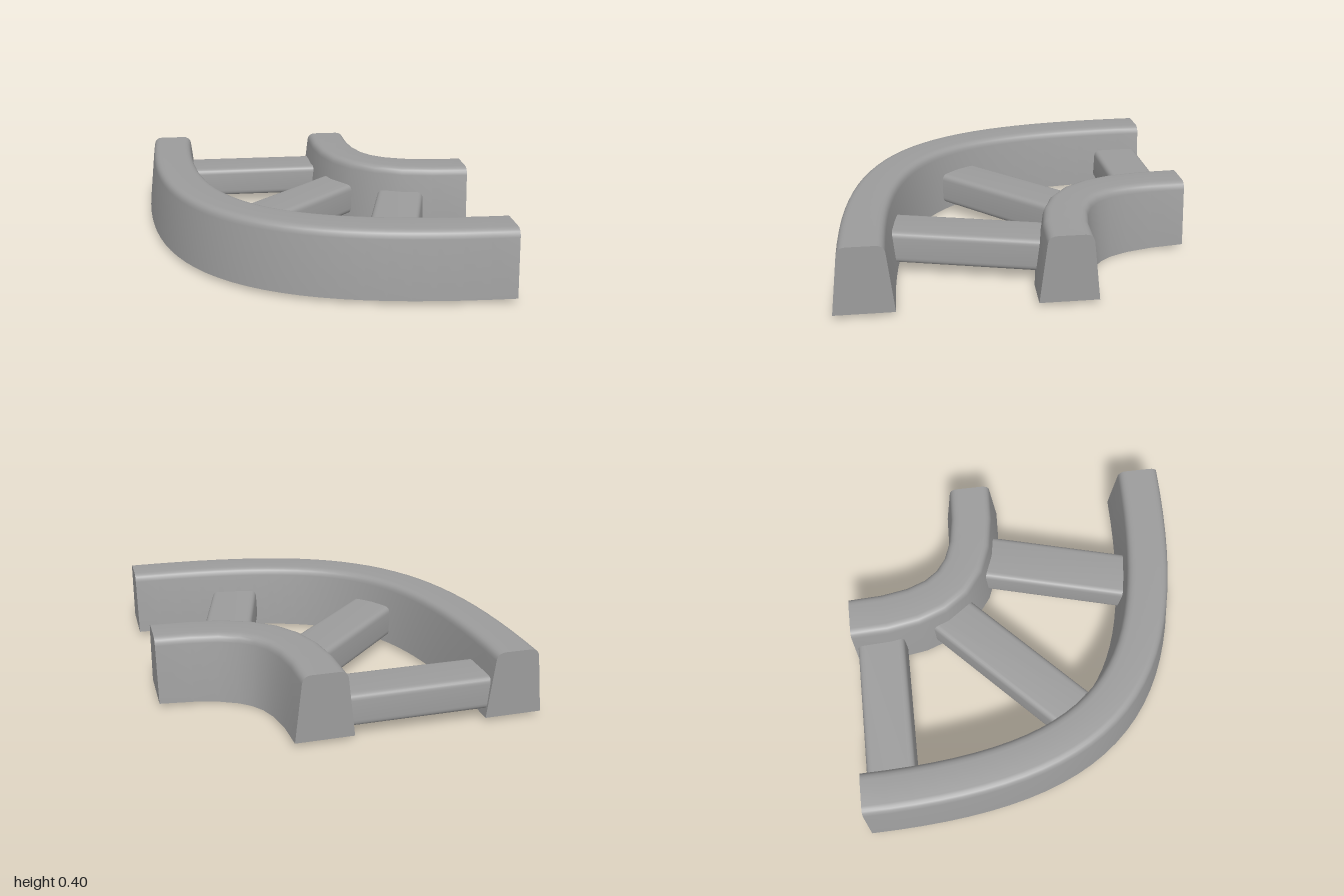
import * as THREE from 'three';
import { toCreasedNormals } from 'three/addons/utils/BufferGeometryUtils.js';

const material = new THREE.MeshStandardMaterial({ color: 0x9c9c9c });
const CX = 0.99, CZ = -1; // centre of the quarter arcs

// Closed polygon with its corners rounded by r (one radius per corner)
function roundedShape(corners, radii) {
  const shape = new THREE.Shape();
  const n = corners.length;
  corners.forEach((c, i) => {
    const before = corners[(i + n - 1) % n].clone().sub(c).setLength(radii[i]).add(c);
    const after = corners[(i + 1) % n].clone().sub(c).setLength(radii[i]).add(c);
    if (i === 0) shape.moveTo(before.x, before.y);
    else shape.lineTo(before.x, before.y);
    if (radii[i] > 0) shape.quadraticCurveTo(c.x, c.y, after.x, after.y);
  });
  shape.closePath();
  return shape;
}

// Tapered bar cross-section: sharp at the base, rounded along the top
function barSection(halfBase, halfTop, y0, y1, r) {
  const corners = [[-halfBase, y0], [halfBase, y0], [halfTop, y1], [-halfTop, y1]];
  const shape = roundedShape(corners.map(c => new THREE.Vector2(...c)), [0, 0, r, r]);
  const points = shape.getPoints(5);
  return points.filter((p, i) => p.distanceTo(points[(i + 1) % points.length]) > 1e-5);
}

// Sweeps a cross-section along a full-bodied quarter arc; sag lowers the base mid-way
function arcBar(name, rx, rz, section, segments, sag) {
  const k = 0.77;
  const path = new THREE.CubicBezierCurve(
    new THREE.Vector2(CX - rx, CZ), new THREE.Vector2(CX - rx, CZ + k * rz),
    new THREE.Vector2(CX - k * rx, CZ + rz), new THREE.Vector2(CX, CZ + rz));
  const positions = [], indices = [];
  const n = section.length;
  for (let i = 0; i <= segments; i++) {
    const t = i / segments;
    const p = path.getPoint(t), d = path.getTangent(t);
    for (const s of section) {
      const drop = s.y < 0.1 ? sag * Math.sin(Math.PI * t) : 0;
      positions.push(p.x - d.y * s.x, s.y - drop, p.y + d.x * s.x);
    }
  }
  for (let i = 0; i < segments; i++) {
    for (let j = 0; j < n; j++) {
      const a = i * n + j, c = i * n + (j + 1) % n;
      indices.push(a, a + n, c, c, a + n, c + n);
    }
  }
  // Flat end caps
  const last = segments * n;
  for (let j = 1; j < n - 1; j++) {
    indices.push(0, j, j + 1, last, last + j + 1, last + j);
  }
  const geometry = new THREE.BufferGeometry();
  geometry.setAttribute('position', new THREE.Float32BufferAttribute(positions, 3));
  geometry.setIndex(indices);
  const mesh = new THREE.Mesh(toCreasedNormals(geometry, 0.7), material);
  mesh.name = name;
  return mesh;
}

// Straight spoke with rounded long edges between two floor points
function spoke(name, x0, z0, x1, z1) {
  const w = 0.148, y0 = 0.066, y1 = 0.246;
  const corners = [[-w, y0], [w, y0], [w - 0.01, y1], [-w + 0.01, y1]];
  const shape = roundedShape(corners.map(c => new THREE.Vector2(...c)), [0.035, 0.035, 0.035, 0.035]);
  const length = Math.hypot(x1 - x0, z1 - z0);
  const geometry = new THREE.ExtrudeGeometry(shape, { depth: length, bevelEnabled: false, curveSegments: 5 });
  const mesh = new THREE.Mesh(toCreasedNormals(geometry, 0.7), material);
  mesh.position.set(x0, 0, z0);
  mesh.rotation.y = Math.atan2(x1 - x0, z1 - z0);
  mesh.name = name;
  return mesh;
}

export function createModel() {
  const group = new THREE.Group();
  group.name = 'quarterWheel';

  const section = barSection(0.16, 0.117, 0.022, 0.395, 0.045);
  group.add(arcBar('outerRim', 1.82, 1.84, section, 28, 0));
  group.add(arcBar('innerHub', 0.77, 0.785, section, 8, 0.022));

  // Spokes run from the rim to the hub
  group.add(spoke('backSpoke', -0.705, -0.842, 0.13, -0.842));
  group.add(spoke('middleSpoke', -0.445, 0.245, 0.26, -0.43));
  group.add(spoke('frontSpoke', 0.355, 0.703, 0.586, -0.148));
  return group;
}
